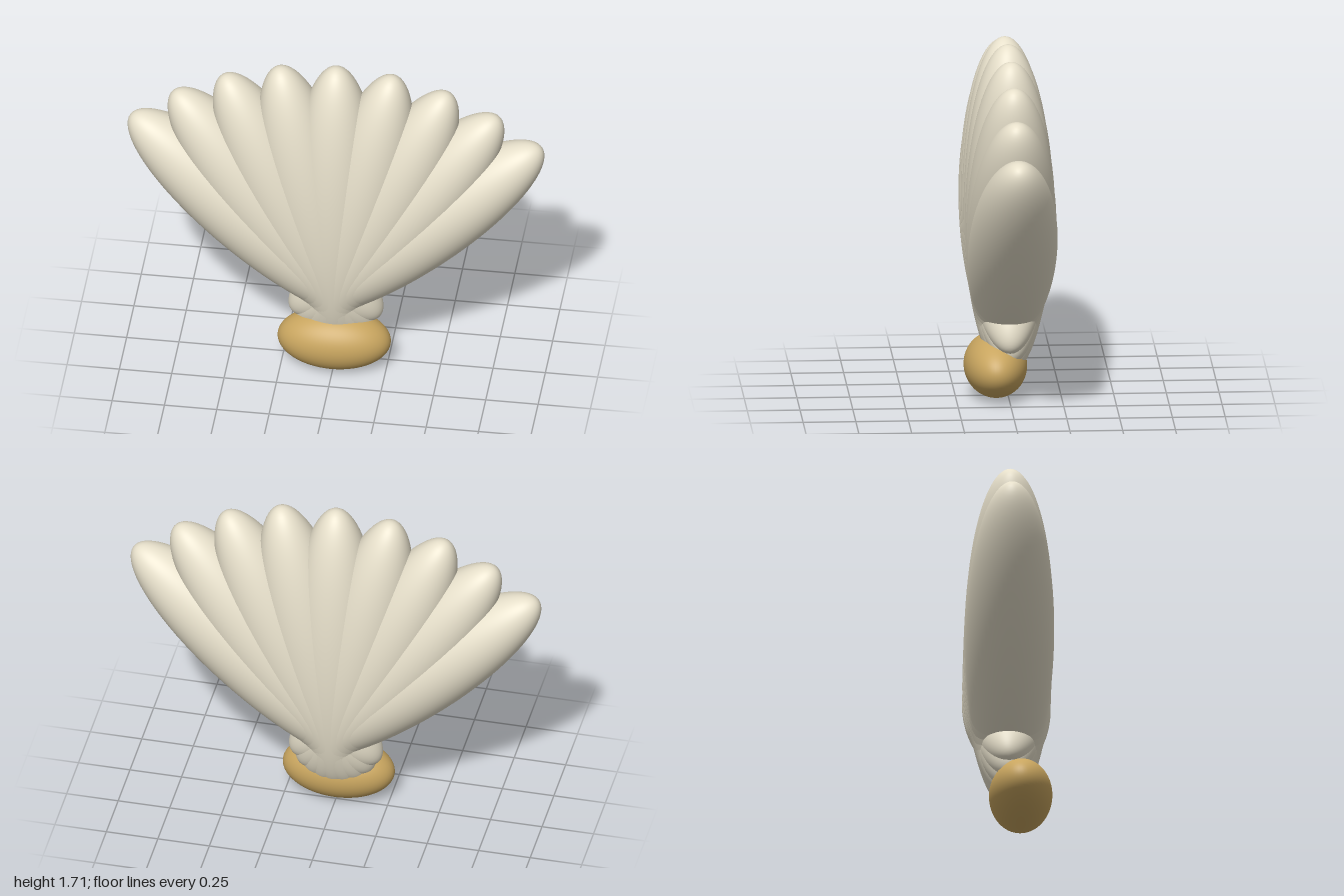
import * as THREE from 'three';

export function createModel() {
  const model = new THREE.Group();
  const cream = new THREE.MeshStandardMaterial({ color: 0xe6dfca });
  const gold = new THREE.MeshStandardMaterial({ color: 0xc8a55f });
  const ball = new THREE.SphereGeometry(1, 64, 48);

  const ellipsoid = (name, material, radii, position, parent) => {
    const mesh = new THREE.Mesh(ball, material);
    mesh.name = name;
    mesh.scale.set(...radii);
    mesh.position.set(...position);
    parent.add(mesh);
    return mesh;
  };

  // Nine overlapping ribs spread into a fan, 12 degrees apart
  const fan = new THREE.Group();
  fan.name = 'shellFan';
  for (let i = -4; i <= 4; i++) {
    const angle = THREE.MathUtils.degToRad(12 * i);
    const centre = [0.517 * Math.sin(angle), 0.57 + 0.335 * Math.cos(angle), 0];
    const rib = ellipsoid(`rib${i + 5}`, cream, [0.209, 0.8, 0.21], centre, fan);
    rib.rotation.z = -angle;
  }
  model.add(fan);

  // Rounded hinge at the foot of the fan, set slightly forward
  ellipsoid('hinge', gold, [0.27, 0.15, 0.15], [0, 0.15, 0.06], model);

  return model;
}
